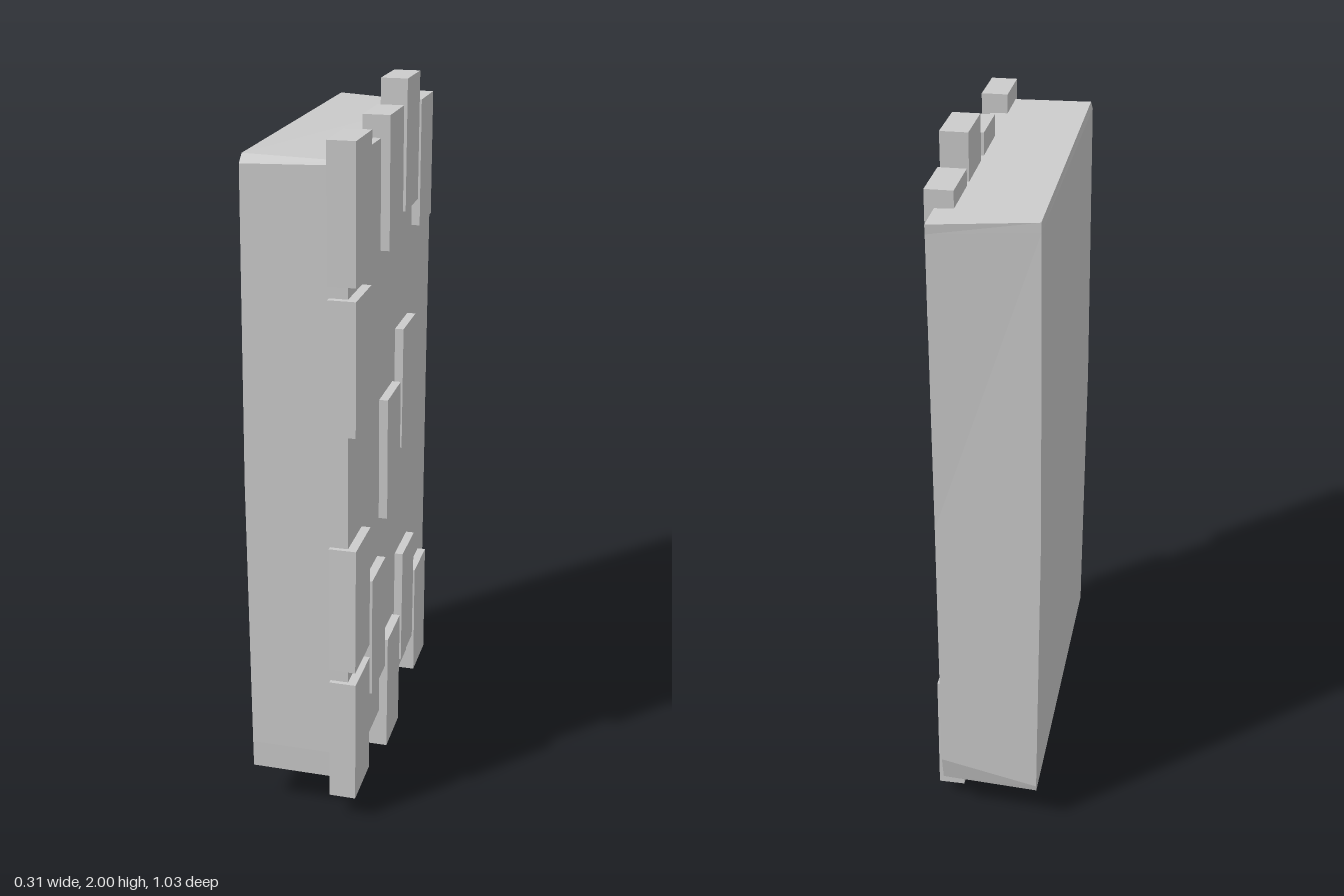
import * as THREE from 'three';

const material = new THREE.MeshStandardMaterial({ color: 0xcccccc, flatShading: true, side: THREE.DoubleSide });

// Slab lofted through four-cornered rings, bottom to top, with slightly worn edges
function slabGeometry() {
  const rings = [
    [[-0.15, 0.12, 0.49], [0.13, 0.12, 0.49], [0.13, 0.12, -0.485], [-0.15, 0.12, -0.5]],
    [[-0.15, 0.2, 0.492], [0.13, 0.2, 0.492], [0.13, 0.2, -0.503], [-0.15, 0.14, -0.505]],
    [[-0.155, 1.0, 0.492], [0.13, 1.0, 0.492], [0.13, 1.0, -0.503], [-0.157, 1.0, -0.503]],
    [[-0.148, 1.86, 0.492], [0.13, 1.868, 0.492], [0.13, 1.84, -0.513], [-0.151, 1.86, -0.505]],
    [[-0.144, 1.884, 0.48], [0.13, 1.878, 0.487], [0.13, 1.866, -0.515], [-0.15, 1.885, -0.505]],
  ];
  const pos = [];
  const quad = (a, b, c, d) => pos.push(...a, ...b, ...c, ...a, ...c, ...d);
  for (let i = 0; i < rings.length - 1; i++) {
    for (let j = 0; j < 4; j++) {
      const k = (j + 1) % 4;
      quad(rings[i][j], rings[i][k], rings[i + 1][k], rings[i + 1][j]);
    }
  }
  quad(...rings[rings.length - 1]);
  quad(...[...rings[0]].reverse());
  const g = new THREE.BufferGeometry();
  g.setAttribute('position', new THREE.Float32BufferAttribute(pos, 3));
  g.computeVertexNormals();
  return g;
}

// Brick seen from +x: front edge z, bottom y, lean of its lower end towards the back
function brickGeometry(z, y, lean) {
  const w = 0.162, h = 0.365, u = -z;
  const shape = new THREE.Shape([
    new THREE.Vector2(u + lean, y),
    new THREE.Vector2(u + w + lean, y),
    new THREE.Vector2(u + w, y + h),
    new THREE.Vector2(u, y + h),
  ]);
  const g = new THREE.ExtrudeGeometry(shape, { depth: 0.075, bevelEnabled: false });
  g.rotateY(Math.PI / 2);
  g.translate(0.08, 0, 0);
  return g;
}

export function createModel() {
  const model = new THREE.Group();
  model.name = 'brickWall';

  const slab = new THREE.Mesh(slabGeometry(), material);
  slab.name = 'wallSlab';
  model.add(slab);

  // Raised bricks scattered over the +x face
  const bricks = new THREE.Group();
  bricks.name = 'bricks';
  [
    [0.512, 1.567, 0.003], [0.149, 1.57, 0.005], [-0.056, 1.635, -0.005], [-0.245, 1.55, 0],
    [0.51, 1.167, 0], [0.145, 0.777, 0.005], [-0.046, 0.927, -0.005],
    [0.505, 0.477, -0.005], [0.317, 0.297, 0.005], [0.505, 0.07, -0.003],
    [0.113, 0, -0.005], [-0.078, 0.195, -0.005], [-0.263, 0.05, 0.006],
  ].forEach(([z, y, lean], i) => {
    const brick = new THREE.Mesh(brickGeometry(z, y, lean), material);
    brick.name = `brick${i + 1}`;
    bricks.add(brick);
  });
  model.add(bricks);
  return model;
}
